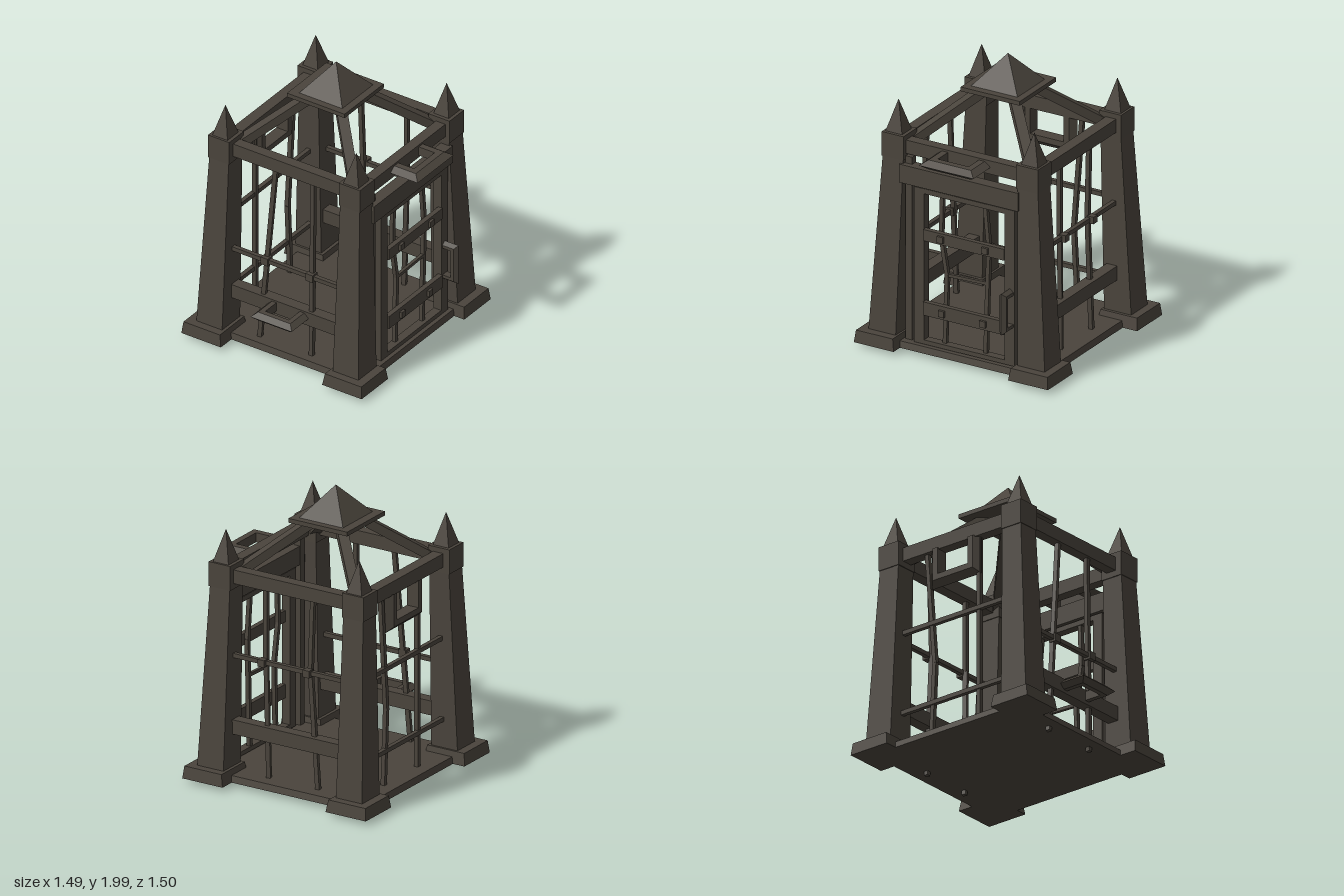
import * as THREE from 'three';

const iron = new THREE.MeshStandardMaterial({ color: 0x4a443c });
iron.name = 'dark iron';
const V = (x, y, z) => new THREE.Vector3(x, y, z);
const CX = -0.0375, CZ = -0.01; // middle of the cage

export function createModel() {
  const root = new THREE.Group();
  root.name = 'cage';

  const add = (name, geometry) => {
    const mesh = new THREE.Mesh(geometry, iron);
    mesh.name = name;
    root.add(mesh);
    return mesh;
  };

  // Tapered block between two rectangles [x0, x1, z0, z1]
  const block = (name, y0, y1, low, high = low) => {
    const g = new THREE.BoxGeometry(1, 1, 1);
    const p = g.attributes.position;
    for (let i = 0; i < p.count; i++) {
      const top = p.getY(i) > 0;
      const r = top ? high : low;
      p.setXYZ(i, p.getX(i) < 0 ? r[0] : r[1], top ? y1 : y0, p.getZ(i) < 0 ? r[2] : r[3]);
    }
    g.computeVertexNormals();
    return add(name, g);
  };

  // Four-sided spire
  const spire = (name, y0, y1, x, z, rx, rz) => {
    const g = new THREE.ConeGeometry(Math.SQRT2, y1 - y0, 4, 1).toNonIndexed();
    g.rotateY(Math.PI / 4);
    g.scale(rx, 1, rz);
    g.translate(x, (y0 + y1) / 2, z);
    g.computeVertexNormals();
    return add(name, g);
  };

  // Square bar through a list of points
  const bar = (name, points, w = 0.03, h = w) => {
    for (let i = 0; i + 1 < points.length; i++) {
      const a = V(...points[i]), b = V(...points[i + 1]);
      const mesh = add(name, new THREE.BoxGeometry(w, h, a.distanceTo(b)));
      mesh.position.copy(a).lerp(b, 0.5);
      mesh.lookAt(b);
    }
  };

  const knob = (name, x, y, z, s = 0.045) => {
    add(name, new THREE.BoxGeometry(s, s, s)).position.set(x, y, z);
  };

  // U-shaped handle with a ridged outer edge; u runs along it, v points outwards
  const handle = (name, length, depth, w, h, origin, u, v) => {
    const section = [[0, -h], [w / 2, -h], [w, 0], [w / 2, h], [0, h]];
    const rings = [0, 1, 2, 3].map((k) => section.map(([o, t]) => {
      const side = (k < 2 ? -1 : 1) * (length / 2 - w + o);
      return [side, k === 0 || k === 3 ? 0 : depth - w + o, t];
    }));
    const pos = [];
    for (let i = 0; i < 3; i++) {
      for (let j = 0; j < 5; j++) {
        const n = (j + 1) % 5;
        const [a, b, c, d] = [rings[i][j], rings[i][n], rings[i + 1][n], rings[i + 1][j]];
        pos.push(...a, ...b, ...c, ...a, ...c, ...d);
      }
    }
    const g = new THREE.BufferGeometry();
    g.setAttribute('position', new THREE.Float32BufferAttribute(pos, 3));
    g.applyMatrix4(new THREE.Matrix4().makeBasis(u, v, u.clone().cross(v)).setPosition(origin));
    g.computeVertexNormals();
    add(name, g);
  };

  // Floor
  block('floor', 0.04, 0.085, [-0.66, 0.595, -0.64, 0.61], [-0.65, 0.585, -0.63, 0.6]);

  // Corner posts with feet, caps and spires, and the roof struts
  for (const sx of [-1, 1]) {
    for (const sz of [-1, 1]) {
      const rect = (x0, x1, z0, z1) => {
        const xs = [CX + sx * x0, CX + sx * x1].sort((a, b) => a - b);
        const zs = [CZ + sz * z0, CZ + sz * z1].sort((a, b) => a - b);
        return [...xs, ...zs];
      };
      block('foot', 0.04, 0.125, rect(0.4, 0.712, 0.437, 0.74), rect(0.415, 0.702, 0.45, 0.73));
      block('post', 0.125, 1.4, rect(0.437, 0.64, 0.465, 0.672), rect(0.44, 0.592, 0.435, 0.59));
      block('postCap', 1.36, 1.53, rect(0.433, 0.6, 0.43, 0.597));
      spire('postSpire', 1.53, 1.75, CX + sx * 0.517, CZ + sz * 0.518, 0.06, 0.063);
      bar('roofStrut', [
        [CX + sx * 0.47, 1.435, CZ + sz * 0.47],
        [CX + sx * 0.08, 1.785, CZ + sz * 0.08],
      ], 0.07, 0.06);
    }
  }

  // Top beams
  block('frontTopBeam', 1.4, 1.495, [-0.5, 0.43, 0.465, 0.54]);
  block('backTopBeam', 1.4, 1.495, [-0.5, 0.43, -0.57, -0.49]);
  block('leftTopBeam', 1.4, 1.495, [0.455, 0.53, -0.47, 0.46]);
  block('rightTopBeam', 1.4, 1.495, [-0.59, -0.51, -0.47, 0.46]);

  // Roof
  block('roofPlate', 1.76, 1.79, [-0.27, 0.185, -0.235, 0.215]);
  spire('roofPyramid', 1.79, 2, -0.0365, -0.01, 0.17, 0.177);

  // Lower beams of front and back
  block('frontLowerBeam', 0.32, 0.42, [-0.5, 0.43, 0.475, 0.555]);
  block('backLowerBeam', 0.35, 0.45, [-0.5, 0.43, -0.575, -0.495]);

  // Front bars
  bar('frontBar', [[-0.155, 1.42, 0.505], [-0.275, 0.01, 0.525]]);
  bar('frontBar', [[0.14, 1.42, 0.505], [0.14, 0.01, 0.525]]);
  bar('frontCrossBar', [[-0.5, 0.69, 0.53], [0.43, 0.69, 0.53]]);
  for (const x of [-0.215, 0.14]) knob('frontRivet', x, 0.69, 0.53, 0.055);

  // Back bars
  bar('backBar', [[-0.2, 1.42, -0.53], [-0.18, 0.9, -0.53], [-0.24, 0.01, -0.525]]);
  bar('backBar', [[0.165, 1.42, -0.53], [0.165, 0.9, -0.53], [0.145, 0.01, -0.525]]);
  bar('backCrossBar', [[-0.5, 0.895, -0.55], [0.43, 0.895, -0.55]]);
  for (const x of [-0.18, 0.17]) knob('backRivet', x, 0.895, -0.565, 0.05);

  // Bars on the side opposite the door
  bar('sideBar', [[-0.55, 1.42, 0.17], [-0.55, 0.05, 0.17]]);
  bar('sideBar', [[-0.55, 1.42, -0.265], [-0.55, 0.61, -0.2], [-0.55, 0.05, -0.23]]);
  for (const y of [0.895, 0.325]) bar('sideCrossBar', [[-0.56, y, -0.49], [-0.56, y, 0.48]]);

  // Door surround
  block('lintel', 1.205, 1.335, [0.49, 0.575, -0.46, 0.445]);
  block('doorJamb', 0.04, 1.385, [0.485, 0.535, 0.37, 0.42]);

  // Door frame and rails
  block('doorStile', 0.09, 1.195, [0.5, 0.56, 0.265, 0.34]);
  block('doorStile', 0.09, 1.195, [0.5, 0.56, -0.425, -0.35]);
  block('doorTopRail', 1.16, 1.195, [0.5, 0.56, -0.35, 0.265]);
  block('doorBottomRail', 0.09, 0.12, [0.5, 0.56, -0.35, 0.265]);
  block('doorMiddleRail', 0.83, 0.91, [0.535, 0.57, -0.35, 0.265]);
  block('doorLowerRail', 0.3, 0.395, [0.535, 0.57, -0.35, 0.265]);

  // Bent door bars and their rivets
  const X = 0.52;
  bar('doorBar', [[X, 1.18, 0.145], [X, 0.87, 0.155], [X, 0.605, 0.11], [X, 0.1, 0.125]], 0.028);
  bar('doorBar', [[X, 1.18, -0.18], [X, 0.87, -0.21], [X, 0.605, -0.2], [X, 0.1, -0.185]], 0.028);
  bar('doorTieBar', [[X, 0.605, 0.11], [X, 0.615, -0.2]], 0.022);
  for (const [y, z] of [[0.87, 0.13], [0.87, -0.21], [0.345, 0.12], [0.345, -0.195]]) {
    knob('doorRivet', 0.565, y, z);
  }

  // Handles
  const ux = V(1, 0, 0), uy = V(0, 1, 0), uz = V(0, 0, 1);
  handle('frontHandle', 0.325, 0.22, 0.07, 0.032, V(-0.027, 0.375, 0.53), ux, uz);
  handle('upperHandle', 0.415, 0.235, 0.09, 0.033, V(0.51, 1.448, -0.017), uz, ux);
  handle('doorHandle', 0.295, 0.13, 0.045, 0.027, V(0.54, 0.49, -0.39), uy, ux);
  handle('hangingHandle', 0.415, 0.27, 0.08, 0.045, V(-0.555, 1.41, -0.017), uz, V(0, -1, 0));

  return root;
}
